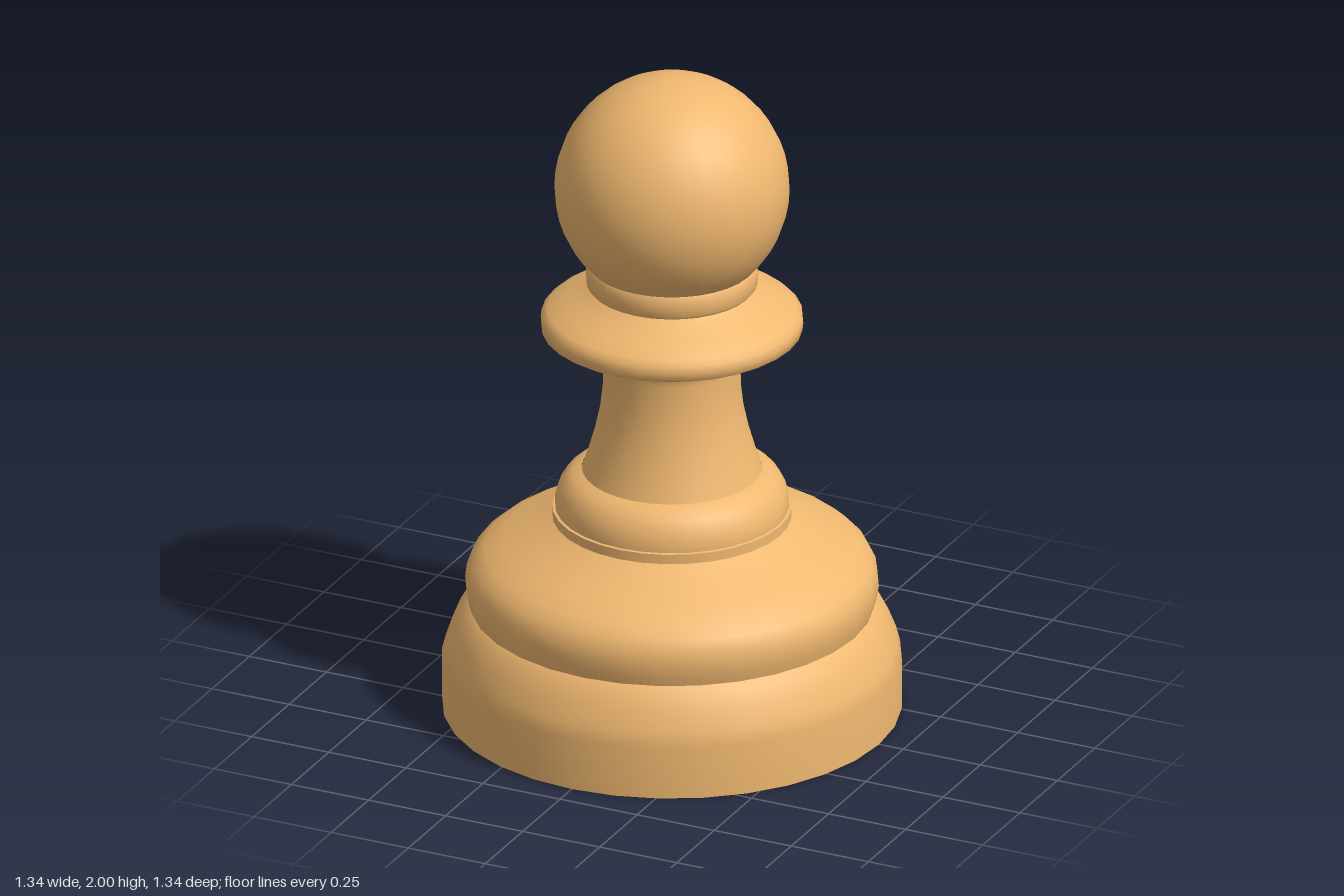
import * as THREE from 'three';

const SIDES = 32;

export function createModel() {
  const group = new THREE.Group();
  const wood = new THREE.MeshStandardMaterial({ color: 0xf0b870 });

  const add = (name, geometry) => {
    const mesh = new THREE.Mesh(geometry, wood);
    mesh.name = name;
    group.add(mesh);
    return mesh;
  };

  // Turned part from [radius, height] pairs, bottom to top
  const turned = (name, profile) =>
    add(name, new THREE.LatheGeometry(profile.map(([r, y]) => new THREE.Vector2(r, y)), SIDES));

  // Flat underside
  add('underside', new THREE.CircleGeometry(0.672, SIDES).rotateX(Math.PI / 2));

  // Wide foot with a rounded shoulder
  turned('base', [
    [0.672, 0], [0.672, 0.16], [0.66, 0.205], [0.638, 0.26], [0.612, 0.305], [0.59, 0.325],
  ]);

  // Bulging tier sloping up to the stem
  turned('bodyTier', [
    [0.59, 0.32], [0.598, 0.35], [0.605, 0.39], [0.6, 0.43], [0.583, 0.465], [0.55, 0.495],
    [0.5, 0.525], [0.44, 0.555], [0.385, 0.585], [0.35, 0.605],
  ]);

  // Thin band and rounded moulding around the stem foot
  turned('lowerBand', [[0.35, 0.6], [0.35, 0.635]]);
  turned('lowerBandTop', [[0.35, 0.635], [0.335, 0.638]]);
  turned('lowerMoulding', [
    [0.342, 0.635], [0.342, 0.66], [0.333, 0.695], [0.315, 0.725], [0.292, 0.745], [0.264, 0.757],
  ]);

  // Tapering stem flaring out beneath the collar
  turned('stem', [
    [0.264, 0.755], [0.245, 0.81], [0.225, 0.88], [0.21, 0.95], [0.202, 1.02], [0.2, 1.1],
    [0.204, 1.135], [0.22, 1.16], [0.25, 1.178], [0.3, 1.19], [0.368, 1.199],
  ]);

  // Collar disc
  turned('collar', [
    [0.368, 1.199], [0.382, 1.208], [0.384, 1.23], [0.382, 1.252], [0.365, 1.268],
    [0.32, 1.297], [0.275, 1.318], [0.24, 1.343],
  ]);

  // Neck ring
  turned('neckRing', [
    [0.24, 1.34], [0.25, 1.352], [0.252, 1.38], [0.25, 1.408], [0.238, 1.42],
  ]);

  // Ball head
  add('head', new THREE.SphereGeometry(0.344, SIDES, 24)).position.y = 1.656;

  return group;
}
